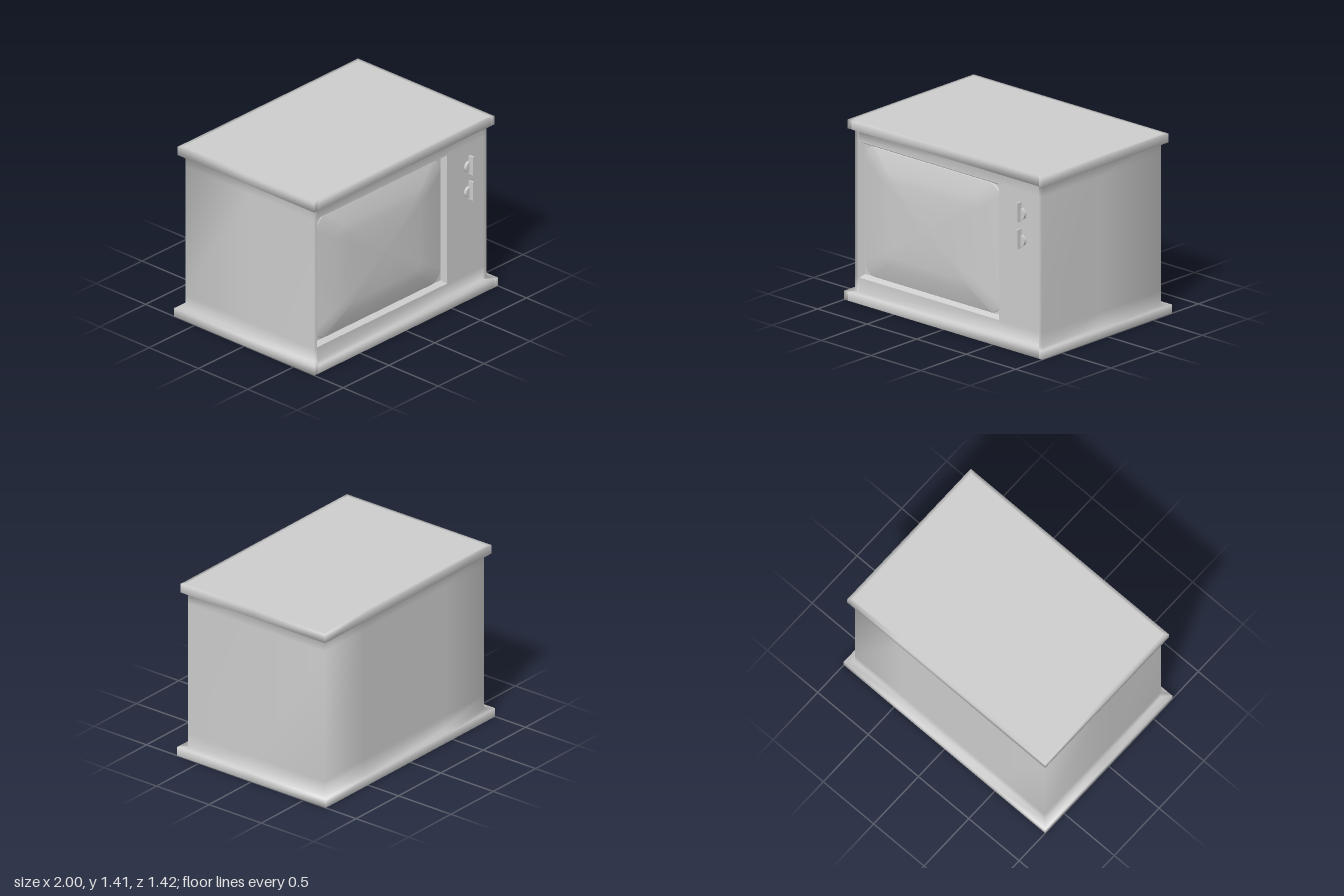
import * as THREE from 'three';

// Skins a list of closed rings; skip(row, column) leaves openings
function loft(rings, skip = () => false) {
  const n = rings[0].length, index = [];
  for (let i = 0; i < rings.length - 1; i++) {
    for (let j = 0; j < n; j++) {
      if (skip(i, j)) continue;
      const k = (j + 1) % n;
      const a = i * n + j, b = i * n + k, c = b + n, d = a + n;
      index.push(a, b, c, a, c, d);
    }
  }
  const g = new THREE.BufferGeometry();
  g.setAttribute('position', new THREE.Float32BufferAttribute(rings.flat(2), 3));
  g.setIndex(index);
  g.computeVertexNormals();
  return g;
}

export function createModel() {
  const model = new THREE.Group();
  const grey = new THREE.MeshStandardMaterial({ color: 0xcccccc });
  const add = (name, geometry, x = 0, y = 0, z = 0, parent = model) => {
    const mesh = new THREE.Mesh(geometry, grey);
    mesh.name = name;
    mesh.position.set(x, y, z);
    parent.add(mesh);
    return mesh;
  };

  // Cabinet: plinth, body and lid in one skin; doubled columns crease the front panel
  const outline = [
    [-1, 1], [-0.96, 1], [-0.96, 1], [0.54, 1], [0.965, 1], [0.965, 1], [1, 1],
    [1, 0], [1, -1], [0.5, -1], [-0.5, -1], [-1, -1], [-1, 0],
  ];
  const levels = [ // y, half width, half depth
    [0, 0, 0], [0, 0.97, 0.68], [0, 1, 0.71], [0.07, 1, 0.71],
    [0.07, 0.943, 0.65], [0.18, 0.943, 0.65], [1.25, 0.943, 0.65], [1.345, 0.943, 0.65],
    [1.345, 0.983, 0.69], [1.415, 0.983, 0.69], [1.415, 0.955, 0.662], [1.415, 0, 0],
  ];
  const rings = levels.map(([y, hx, hz]) => outline.map(([u, w]) => [u * hx, y, w * hz]));
  add('cabinet', loft(rings, (row, col) => row === 5 && col === 2));

  // Sloping bezel and floor of the screen opening
  const rect = (x0, x1, y0, y1, z) => [[x0, y0, z], [x1, y0, z], [x1, y1, z], [x0, y1, z]];
  const bezel = loft([
    rect(-0.905, 0.509, 0.18, 1.25, 0.65),
    rect(-0.88, 0.487, 0.202, 1.225, 0.605),
    rect(-0.195, -0.195, 0.713, 0.713, 0.605),
  ]).toNonIndexed();
  bezel.computeVertexNormals();
  add('screenBezel', bezel);

  // Bulging screen with rounded corners
  const hw = 0.683, hh = 0.512, r = 0.1;
  const edge = [];
  [[-1, -1], [1, -1], [1, 1], [-1, 1]].forEach(([sx, sy], c) => {
    for (let k = 0; k <= 6; k++) {
      const a = Math.PI + (c + k / 6) * Math.PI / 2;
      edge.push([sx * (hw - r) + r * Math.cos(a), sy * (hh - r) + r * Math.sin(a)]);
    }
  });
  const bulge = [[1, 0.605], [0.985, 0.614], [0.73, 0.65], [0.58, 0.662], [0.3, 0.67], [0, 0.672]];
  add('screen', loft(bulge.map(([s, z]) => edge.map(([x, y]) => [x * s, y * s, z]))), -0.195, 0.713, 0);

  // Two control knobs, each a round dial with a grip bar
  for (const y of [1.075, 0.865]) {
    const knob = new THREE.Group();
    knob.name = 'knob';
    knob.position.set(0.74, y, 0);
    model.add(knob);
    add('dial', new THREE.CylinderGeometry(0.045, 0.045, 0.03, 24).rotateX(Math.PI / 2), 0, 0, 0.658, knob);
    add('gripBar', new THREE.BoxGeometry(0.016, 0.152, 0.045), 0, 0.018, 0.6855, knob);
  }
  return model;
}
